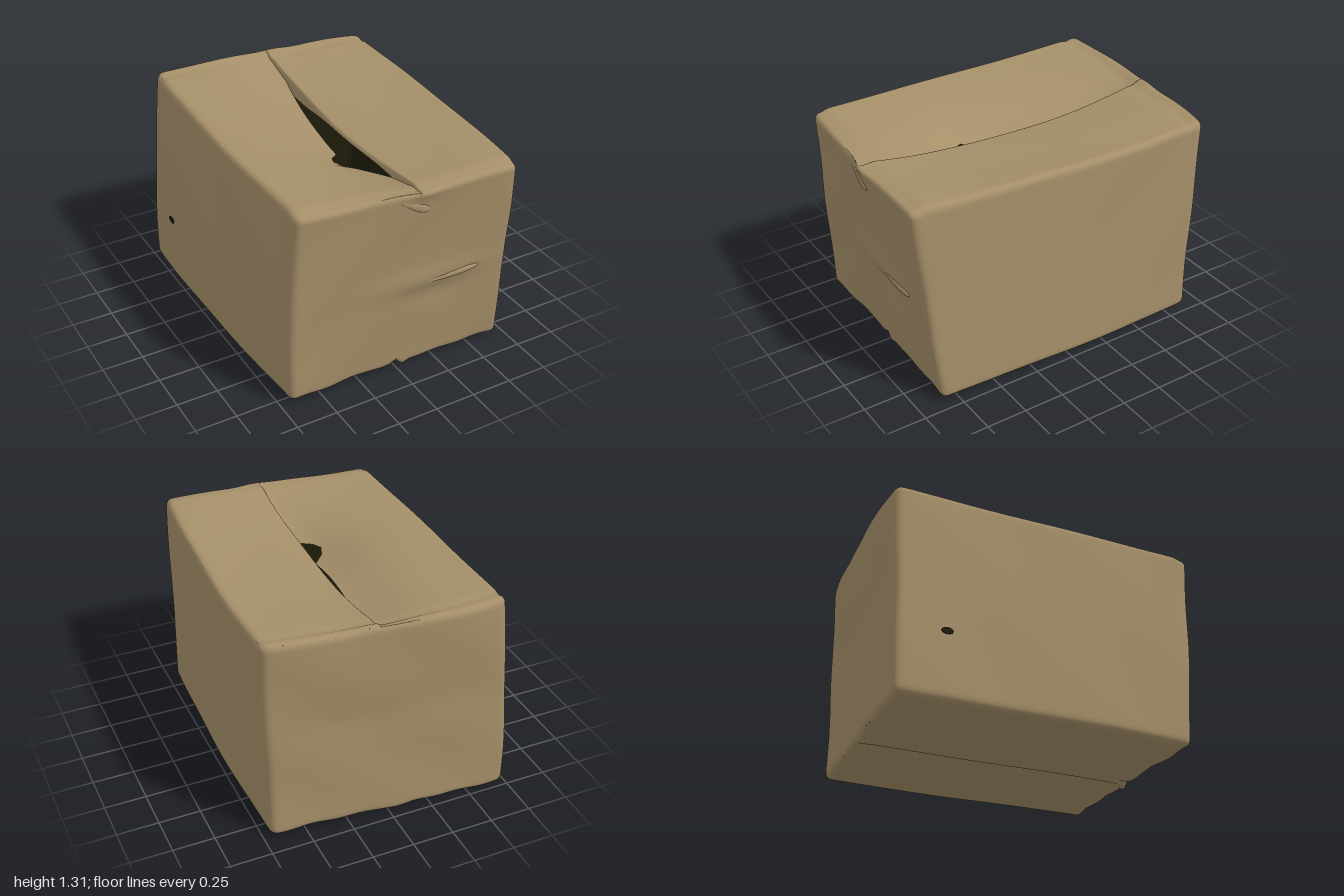
import * as THREE from 'three';

const N = 48;                       // grid divisions per panel
const HALF = [0.7, 0.64, 0.92];     // nominal half sizes
const ROUND = 0.045;                // edge rounding
const WALL = 0.01;                  // board thickness

// Skewed corners of the worn carton: [front -x, front +x, back -x, back +x]
const TOP = [[-0.675, 1.282, 0.89], [0.648, 1.287, 0.988], [-0.645, 1.32, -0.985], [0.744, 1.315, -0.885]];
const BOTTOM = [[-0.7, 0.03, 0.832], [0.692, 0.03, 0.858], [-0.73, 0.012, -0.99], [0.71, 0.022, -0.888]];

const bell = (v, c, w) => Math.exp(-(((v - c) / w) ** 2));
const ease = (v) => Math.sin((v * Math.PI) / 2);
const mix = THREE.MathUtils.lerp;

// Bilinear blend of four corners
function blend(c, u, w) {
  const fx = (u + 1) / 2, fz = (1 - w) / 2;
  return [0, 1, 2].map((i) => mix(mix(c[0][i], c[1][i], fx), mix(c[2][i], c[3][i], fx), fz));
}

// Cube surface point -> rounded, skewed and dented carton point
function warp(p) {
  const q = p.map((v, i) => v * HALF[i]);
  const core = q.map((v, i) => THREE.MathUtils.clamp(v, ROUND - HALF[i], HALF[i] - ROUND));
  const d = q.map((v, i) => v - core[i]);
  const len = Math.hypot(...d);
  const [u, v, w] = core.map((c, i) => (c + (d[i] / len) * ROUND) / HALF[i]);
  const lo = blend(BOTTOM, u, w), hi = blend(TOP, u, w);
  const out = [0, 1, 2].map((i) => mix(lo[i], hi[i], (v + 1) / 2));

  // Soft bulges of the walls
  const bx = 1 - u * u, by = 1 - v * v, bz = 1 - w * w;
  if (u < 0) out[0] += u * (0.018 * by + 0.022 * bz);
  else out[0] += u * 0.03 * bz;
  if (w > 0) {
    out[2] += w * (0.018 * bx * v + 0.02 * bell(v, -0.03, 0.1) * bell(u, 0.25, 0.5));
    out[2] -= w * 0.015 * bell(v, -0.2, 0.16) * bell(u, 0.3, 0.25);
  } else {
    out[2] += w * (0.036 * (1 - u ** 4) * bell(v, 1, 0.9) - 0.01 * bell(v, 0.1, 0.2) * bx);
  }
  if (v > 0) out[1] -= 0.012 * v * bz;

  // Fine unevenness of the board
  out[0] += 0.003 * Math.sin(w * 6 + v * 4);
  out[1] += 0.003 * Math.sin(u * 7 + w * 3);
  out[2] += 0.003 * Math.sin(u * 5 - v * 6);

  // Front lip, ragged bottom rim and tape ends where the seams meet the rims
  const top = bell(v, 1, 0.1), base = bell(v, -1, 0.1);
  const front = bell(w, 1, 0.08), back = bell(w, -1, 0.08);
  out[1] -= 0.015 * top * THREE.MathUtils.smoothstep(w, 0.9, 0.95);
  out[1] += 0.005 * Math.sin(u * 15 + w * 2) * base * (front + back);
  out[1] += top * back * 0.01 * bell(u, 0.15, 0.12);
  out[2] += top * front * 0.02 * bell(u, 0.12, 0.14);
  out[1] += base * front * (0.02 * bell(u, 0, 0.03) - 0.028 * bell(u, 0.07, 0.04));
  out[1] -= base * (front + back) * 0.014 * bell(u, -0.1, 0.1);
  return out;
}

// Panel grid from a surface rule
function panelGeometry(rule, drop) {
  const g = new THREE.PlaneGeometry(2, 2, N, N);
  const pos = g.attributes.position;
  for (let i = 0; i < pos.count; i++) {
    const p = rule(ease(pos.getX(i)), ease(pos.getY(i)));
    const out = warp(p);
    if (drop) out[1] += drop(p[0], p[2]);
    pos.setXYZ(i, ...out);
  }
  g.computeVertexNormals();
  return g;
}

// Inward copy facing the hollow
function liningGeometry(outer) {
  const g = outer.clone();
  const pos = g.attributes.position, nor = g.attributes.normal;
  for (let i = 0; i < pos.count; i++) {
    pos.setXYZ(i, pos.getX(i) - nor.getX(i) * WALL, pos.getY(i) - nor.getY(i) * WALL, pos.getZ(i) - nor.getZ(i) * WALL);
  }
  g.index.array.reverse();
  g.computeVertexNormals();
  return g;
}

export function createModel() {
  const group = new THREE.Group();
  group.name = 'cardboardBox';
  const card = new THREE.MeshStandardMaterial({ color: 0xa58f69 });
  card.name = 'cardboard';
  const dark = new THREE.MeshStandardMaterial({ color: 0x1d1c09 });
  dark.name = 'darkInside';

  const add = (name, geometry, material, parent = group) => {
    const m = new THREE.Mesh(geometry, material);
    m.name = name;
    parent.add(m);
    return m;
  };
  const addPanel = (name, rule, drop) => {
    const part = new THREE.Group();
    part.name = name;
    const g = panelGeometry(rule, drop);
    add(name + 'Outside', g, card, part);
    add(name + 'Inside', liningGeometry(g), dark, part);
    group.add(part);
  };

  // Four walls
  addPanel('frontWall', (a, b) => [a, b, 1]);
  addPanel('backWall', (a, b) => [-a, b, -1]);
  addPanel('leftWall', (a, b) => [1, b, -a]);
  addPanel('rightWall', (a, b) => [-1, b, a]);

  // Top flaps: both sag to the seam, one deeper, leaving a torn gap
  const SEAM = 0.055;
  const tornEdge = (z) => {
    const t = z / 0.74;
    const gap = Math.abs(t) < 1 ? 0.1 * Math.cos((t * Math.PI) / 2) : 0;
    return SEAM + 0.02 - gap - 0.13 * Math.exp(-(((z - 0.26) / 0.085) ** 4));
  };
  const groove = (z) => -0.01 * bell(z, -0.91, 0.025);
  const inner = (z) => 1 - z ** 8;
  const sag = (x, z) => -0.095 * (1 - Math.abs(x)) * (1 - z * z);
  // The upper flap's edge curls down, except over the tear
  const curl = (z) => (0.016 + 0.06 * (1 - Math.exp(-(((z - 0.2) / 0.55) ** 4)))) * inner(z);
  addPanel('topFlapLeft',
    (a, b) => [mix(SEAM, 1, (a + 1) / 2), 1, -b],
    (x, z) => groove(z) + sag(x, z) - curl(z) * bell(x, SEAM, 0.01));
  addPanel('topFlapRight',
    (a, b) => [mix(-1, tornEdge(-b), (a + 1) / 2), 1, -b],
    (x, z) => groove(z) + sag(x, z)
      - (0.05 * (1 - z * z) + 0.014 * inner(z) + 0.05 * bell(z, 0.24, 0.28)) * bell(x, 0.03, 0.32));

  // Bottom flaps meeting in a stepped seam
  addPanel('bottomFlapLeft',
    (a, b) => [mix(0.02, 1, (a + 1) / 2), -1, b],
    (x, z) => 0.022 * inner(z) * bell(x, 0.02, 0.12));
  addPanel('bottomFlapRight',
    (a, b) => [mix(-1, 0.05, (a + 1) / 2), -1, b],
    (x, z) => inner(z) * (0.022 * bell(x, 0.05, 0.008) - 0.002 * bell(x, 0.05, 0.2)));

  // Point just on the front wall for given cube coordinates
  const onFront = (u, v, lift) => {
    const p = new THREE.Vector3(...warp([u, v, 1]));
    p.z += lift;
    return p;
  };
  // Raised folds in the front wall, tapering at one end
  const addFold = (name, start, end, width, depth) => {
    const a = onFront(...start), b = onFront(...end);
    const half = a.distanceTo(b) / 2;
    const g = new THREE.SphereGeometry(1, 24, 16);
    g.scale(half, width, depth);
    const pos = g.attributes.position;
    for (let i = 0; i < pos.count; i++) {
      const k = 0.55 + 0.45 * (pos.getX(i) / half);
      pos.setXYZ(i, pos.getX(i), pos.getY(i) * k, pos.getZ(i) * k);
    }
    g.computeVertexNormals();
    const m = add(name, g, card);
    m.position.copy(a).add(b).multiplyScalar(0.5);
    m.quaternion.setFromUnitVectors(new THREE.Vector3(1, 0, 0), b.sub(a).normalize());
  };
  addFold('frontCrease', [-0.03, -0.07, -0.004], [0.71, -0.04, 0.0], 0.034, 0.024);
  addFold('frontTear', [-0.12, 0.9, 0], [0.16, 0.76, 0.0], 0.04, 0.016);

  // Small puncture low in one side wall
  const spot = new THREE.Vector3(...warp([-1, -0.37, -0.68]));
  const hole = add('sidePuncture', new THREE.CylinderGeometry(1, 1, 0.008, 16), dark);
  hole.rotation.z = Math.PI / 2;
  hole.scale.set(0.02, 1, 0.035);
  hole.position.set(spot.x - 0.001, spot.y, spot.z);

  return group;
}
